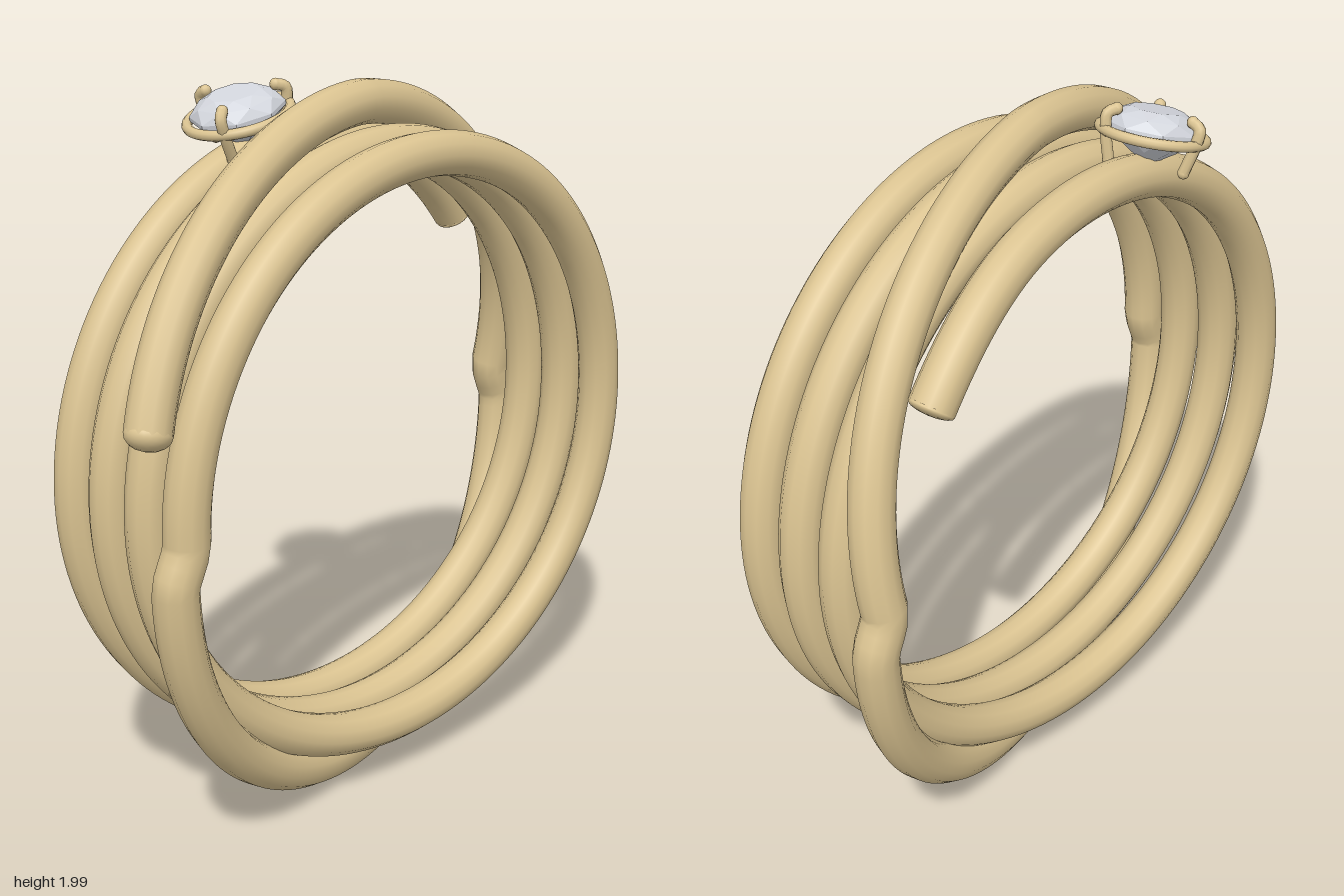
import * as THREE from 'three';

const CX = 0.015, CY = 1.005;   // coil axis
const R = 0.82, WIRE = 0.06;    // coil radius and wire radius
const PITCH = 0.14, BACK = -0.16, FRONT = 0.26;
const START = 38, OUTER = 1260, END = 1440 + 162.5;

// Centre of the wire at a running angle in degrees
function wirePoint(deg) {
  const a = THREE.MathUtils.degToRad(deg);
  const turn = Math.floor(deg / 360), local = deg - turn * 360;
  const lower = local > 180;
  let r = R, z;
  if (deg <= OUTER) {
    // Inner coil: level over the top, one pitch forward along the bottom
    z = BACK + PITCH * turn;
    if (lower) z += PITCH * (1 + Math.cos(a)) / 2;
    z -= 0.02 * (1 - THREE.MathUtils.smoothstep(deg, START, 72));
  } else if (deg <= 1440) {
    // Outer strand steps outwards and crosses to the back underneath
    const step = THREE.MathUtils.smoothstep(Math.min(deg - OUTER, 1440 - deg), 0, 8);
    r = R + step * (0.035 + 0.08 * Math.abs(Math.sin(a)));
    z = FRONT + (BACK - FRONT) * (1 + Math.cos(a)) / 2;
  } else {
    // Outer strand crosses over the top to the front
    r = R + 0.115 * Math.min(1, (deg - 1440) / 90);
    z = BACK + (FRONT - BACK) * (deg - 1440) / 180;
  }
  return new THREE.Vector3(CX + r * Math.cos(a), CY + r * Math.sin(a), z);
}

class WireCurve extends THREE.Curve {
  getPoint(t, target = new THREE.Vector3()) {
    return target.copy(wirePoint(START + (END - START) * t));
  }
}

function addMesh(parent, name, geometry, material) {
  const mesh = new THREE.Mesh(geometry, material);
  mesh.name = name;
  parent.add(mesh);
  return mesh;
}

// Brilliant-cut stone: rings of points, each turned half a step from the last
function gemGeometry() {
  const n = 8;
  const rings = [[0.07, 0.048], [0.105, 0.03], [0.128, 0.004], [0.128, -0.008], [0.07, -0.055]];
  const twist = [0, 0.5, 1, 1, 1.5];
  const point = (k, i) => {
    const a = (i + twist[k]) / n * Math.PI * 2;
    return [rings[k][0] * Math.sin(a), rings[k][1], rings[k][0] * Math.cos(a)];
  };
  const pos = [];
  const tri = (...corners) => corners.forEach((c) => pos.push(...c));
  for (let i = 0; i < n; i++) {
    tri([0, 0.048, 0], point(0, i), point(0, i + 1));
    for (let k = 0; k < rings.length - 1; k++) {
      const shift = twist[k + 1] - twist[k];
      tri(point(k, i), point(k + 1, i), point(k, i + 1));
      tri(point(k, i + 1), point(k + 1, i), point(k + 1, i + 1));
      if (shift < 0) break;
    }
    tri(point(4, i), [0, -0.1, 0], point(4, i + 1));
  }
  const g = new THREE.BufferGeometry();
  g.setAttribute('position', new THREE.Float32BufferAttribute(pos, 3));
  g.computeVertexNormals(); // unshared corners give flat facets
  return g;
}

export function createModel() {
  const gold = new THREE.MeshStandardMaterial({ color: 0xdac391 });
  gold.name = 'gold';
  const crystal = new THREE.MeshStandardMaterial({ color: 0xd2d5dc });
  crystal.name = 'crystal';

  const model = new THREE.Group();
  model.name = 'coiledRing';

  // One continuous wire
  const curve = new WireCurve();
  curve.arcLengthDivisions = 2000;
  addMesh(model, 'coiledWire', new THREE.TubeGeometry(curve, 720, WIRE, 12, false), gold);

  // Rounded wire ends
  for (const [name, t, depth] of [['innerWireEnd', 0, 0.3], ['outerWireEnd', 1, 0.7]]) {
    const cap = addMesh(model, name, new THREE.SphereGeometry(WIRE, 16, 12), gold);
    cap.position.copy(curve.getPoint(t));
    cap.scale.set(1, 1, depth);
    cap.lookAt(cap.position.clone().add(curve.getTangent(t)));
  }

  // Stone setting, standing radially on the rearmost turn
  const setting = new THREE.Group();
  setting.name = 'stoneSetting';
  const tilt = 0.255;
  setting.position.set(CX - 0.932 * Math.sin(tilt), CY + 0.932 * Math.cos(tilt), -0.165);
  setting.rotation.z = tilt;
  model.add(setting);

  addMesh(setting, 'stone', gemGeometry(), crystal).position.y = 0.015;

  const bezel = addMesh(setting, 'bezelRing', new THREE.TorusGeometry(0.138, 0.014, 10, 48), gold);
  bezel.rotation.x = Math.PI / 2;

  // Three prongs with tips bent over the stone
  for (let i = 0; i < 3; i++) {
    const prong = new THREE.Group();
    prong.name = 'prong' + (i + 1);
    prong.rotation.y = Math.PI + i * Math.PI * 2 / 3;
    setting.add(prong);
    const path = new THREE.CatmullRomCurve3([
      new THREE.Vector3(0, -0.075, 0.112),
      new THREE.Vector3(0, 0, 0.133),
      new THREE.Vector3(0, 0.042, 0.136),
      new THREE.Vector3(0, 0.055, 0.112),
    ]);
    addMesh(prong, 'prongStem', new THREE.TubeGeometry(path, 16, 0.016, 8, false), gold);
    for (const t of [0, 1]) {
      addMesh(prong, 'prongTip', new THREE.SphereGeometry(0.016, 10, 8), gold)
        .position.copy(path.getPoint(t));
    }
  }
  return model;
}
